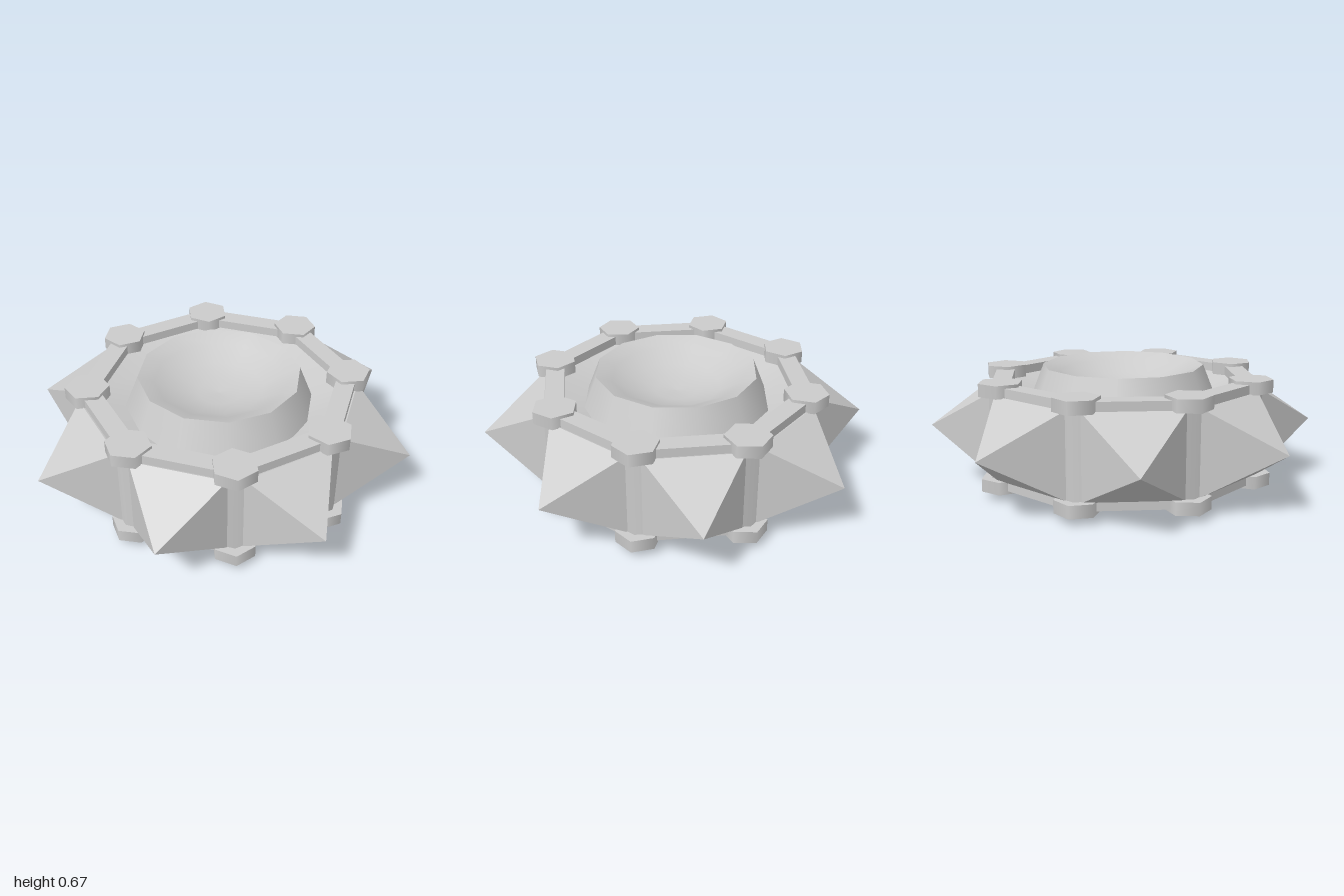
import * as THREE from 'three';

const MID = 0.335;   // half of the total height
const RING = 0.725;  // radius on which the hexagonal caps sit
const BODY = 0.79;   // corner radius of the eight-sided body
const flat = new THREE.MeshStandardMaterial({ color: 0xcccccc, flatShading: true });
const smooth = new THREE.MeshStandardMaterial({ color: 0xcccccc, side: THREE.DoubleSide });

function add(parent, name, geometry, material, x = 0, y = 0, z = 0) {
  const mesh = new THREE.Mesh(geometry, material);
  mesh.name = name;
  mesh.position.set(x, y, z);
  parent.add(mesh);
  return mesh;
}

const lathe = (points, sides) =>
  new THREE.LatheGeometry(points.map(([r, y]) => new THREE.Vector2(r, y)), sides);

// Everything on one face of the wheel; the other face is the same, turned over
function createFace(name) {
  const face = new THREE.Group();
  face.name = name;

  // Sloping channel, twelve-sided hub wall and hollow dish
  add(face, 'channel', lathe([[BODY, 0.23], [0.5, 0.14]], 8), smooth);
  add(face, 'hubWall', lathe([[0.53, 0.135], [0.45, MID]], 12), smooth);
  add(face, 'dish', lathe([[0.45, MID], [0.36, 0.298], [0.25, 0.235],
    [0.12, 0.205], [0, 0.198]], 12), smooth);

  const cap = new THREE.CylinderGeometry(0.122, 0.122, 0.07, 6);
  const rail = new THREE.BoxGeometry(0.5, 0.05, 0.104);
  for (let i = 0; i < 8; i++) {
    const segment = new THREE.Group();
    segment.name = 'faceSegment';
    segment.rotation.y = i * Math.PI / 4;
    add(segment, 'hexCap', cap, smooth, 0, 0.26, RING);
    const a = Math.PI / 8;
    const m = RING * Math.cos(a);
    add(segment, 'rail', rail, flat, m * Math.sin(a), 0.253, m * Math.cos(a)).rotation.y = a;
    face.add(segment);
  }
  return face;
}

export function createModel() {
  const model = new THREE.Group();
  model.name = 'spikedWheel';
  const body = new THREE.Group();
  body.name = 'body';
  body.position.y = MID;
  model.add(body);

  // Eight-sided outer wall, seen as narrow corner strips between the spikes
  add(body, 'outerWall', new THREE.CylinderGeometry(BODY, BODY, 0.46, 8, 1, true), smooth);

  // Upper and lower faces
  body.add(createFace('upperFace'));
  const lower = createFace('lowerFace');
  lower.rotation.x = Math.PI;
  body.add(lower);

  // A four-sided spike on each side of the wall
  const base = BODY * Math.cos(Math.PI / 8);
  const length = 1.082 - base;
  const spike = new THREE.ConeGeometry(Math.SQRT1_2, 1, 4);
  spike.rotateY(Math.PI / 4).rotateX(Math.PI / 2).scale(0.516, 0.46, length);
  for (let i = 0; i < 8; i++) {
    const a = (i + 0.5) * Math.PI / 4;
    const r = base + length / 2;
    add(body, 'spike', spike, flat, r * Math.sin(a), 0, r * Math.cos(a)).rotation.y = a;
  }
  return model;
}
